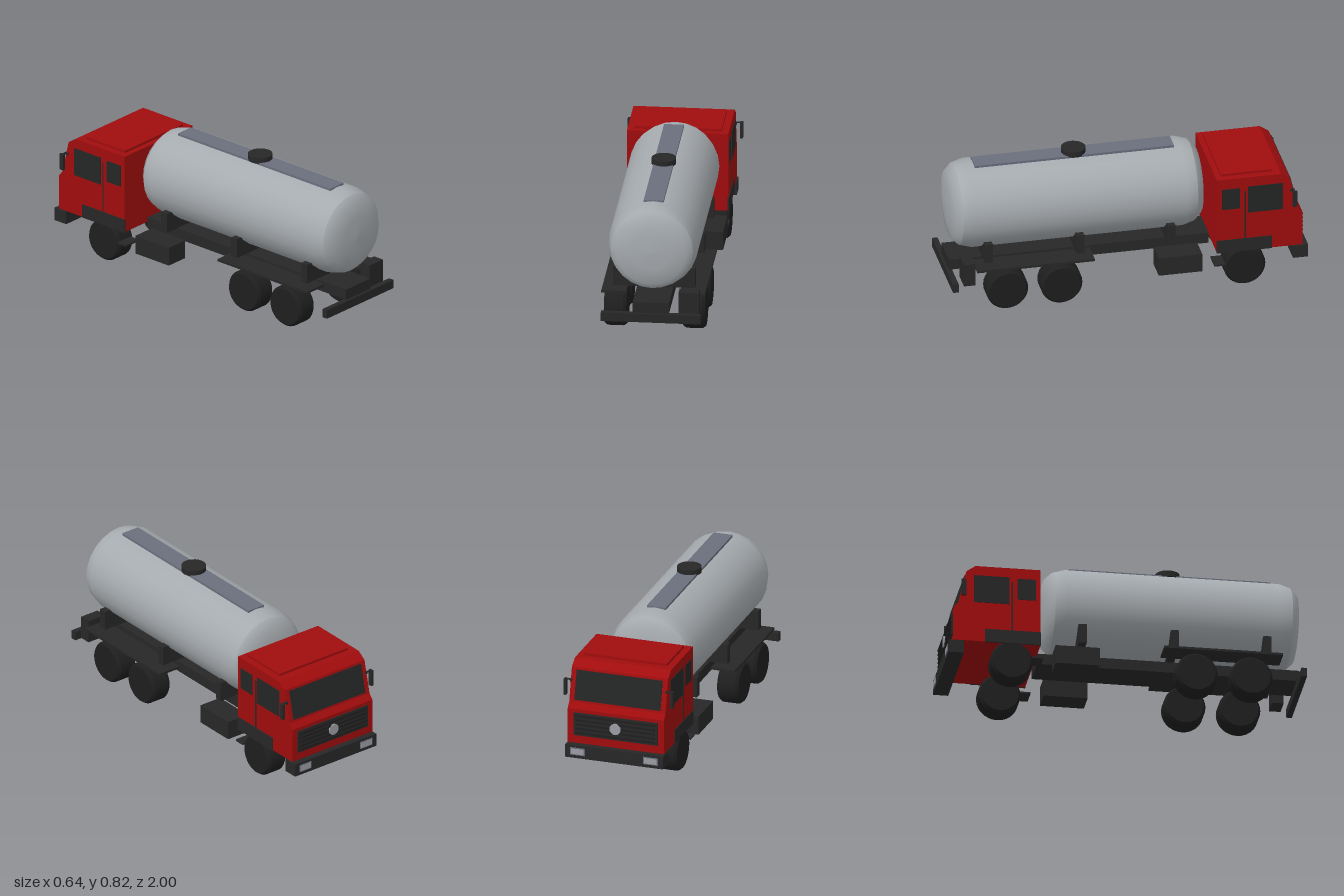
import * as THREE from 'three';
import { toCreasedNormals } from 'three/addons/utils/BufferGeometryUtils.js';

const mat = (name, color) => {
  const m = new THREE.MeshStandardMaterial({ color });
  m.name = name;
  return m;
};

export function createModel() {
  const red = mat('cabRed', 0xa00c0d);
  const dark = mat('darkTrim', 0x262726);
  const black = mat('tyreBlack', 0x1e1e1e);
  const glass = mat('glass', 0x242625);
  const silver = mat('tankSilver', 0xa6abaf);
  const walkGrey = mat('walkwayGrey', 0x6b6f7d);
  const lamp = mat('lampGrey', 0x9a9ca2);

  const truck = new THREE.Group();
  truck.name = 'tankerTruck';

  const add = (name, geo, material, parent = truck) => {
    const m = new THREE.Mesh(geo, material);
    m.name = name;
    parent.add(m);
    return m;
  };
  // Box given by its minimum and maximum on each axis
  const box = (name, material, [x0, x1], [y0, y1], [z0, z1]) => {
    const m = add(name, new THREE.BoxGeometry(x1 - x0, y1 - y0, z1 - z0), material);
    m.position.set((x0 + x1) / 2, (y0 + y1) / 2, (z0 + z1) / 2);
    return m;
  };
  // The same box on both sides; x is given for the +x side
  const pair = (name, material, [x0, x1], y, z) => {
    box(name + 'Left', material, [x0, x1], y, z);
    box(name + 'Right', material, [-x1, -x0], y, z);
  };
  const lathe = (pts, sides) =>
    new THREE.LatheGeometry(pts.map(([r, h]) => new THREE.Vector2(r, h)), sides);

  // Tank: body and two domed ends, lying along z
  const tank = new THREE.Group();
  tank.name = 'tank';
  tank.position.set(0, 0.545, 0.27);
  truck.add(tank);
  const half = [[0.228, 0.66], [0.19, 0.698], [0.1, 0.71], [0, 0.715]];
  const body = [[0.228, -0.66], [0.247, -0.595], [0.247, 0.595], [0.228, 0.66]];
  const frontEnd = half.map(([r, h]) => [r, -h]).reverse();
  for (const [name, pts] of [['tankBody', body], ['tankRearEnd', half], ['tankFrontEnd', frontEnd]]) {
    add(name, lathe(pts, 24).rotateX(Math.PI / 2), silver, tank);
  }
  box('tankWalkway', walkGrey, [-0.055, 0.055], [0.77, 0.798], [-0.29, 0.83]);
  const hatch = add('tankHatch', new THREE.CylinderGeometry(0.068, 0.068, 0.033, 24), dark);
  hatch.position.set(0, 0.808, 0.265);
  for (const z of [-0.24, 0.273, 0.787]) {
    box('tankSaddle', dark, [-0.227, 0.227], [0.278, 0.39], [z - 0.022, z + 0.022]);
  }

  // Chassis and everything hung from it
  box('chassis', dark, [-0.1, 0.1], [0.19, 0.252], [-0.475, 0.985]);
  box('rearBumper', dark, [-0.275, 0.275], [0.14, 0.19], [0.968, 1]);
  box('rearBox', dark, [0.148, 0.26], [0.165, 0.298], [0.87, 0.935]);
  pair('rearFender', dark, [0.147, 0.286], [0.253, 0.266], [0.205, 0.865]);
  pair('sideBox', dark, [0.148, 0.284], [0.118, 0.225], [-0.4, -0.155]);
  pair('cabStep', dark, [0.18, 0.284], [0.138, 0.148], [-0.53, -0.468]);

  // Wheels with chamfered shoulders
  const wheelGeo = toCreasedNormals(lathe([
    [0, -0.062], [0.104, -0.062], [0.117, -0.045], [0.117, 0.045], [0.104, 0.062], [0, 0.062],
  ], 28).rotateZ(-Math.PI / 2), 0.5);
  for (const z of [-0.642, 0.387, 0.692]) {
    for (const s of [-1, 1]) {
      add('wheel', wheelGeo, black).position.set(s * 0.217, 0.12, z);
    }
  }

  // Cab: side outline (forward, up) extruded across the width
  const outline = [[0.483, 0.22], [0.965, 0.22], [0.965, 0.42], [0.94, 0.45],
    [0.895, 0.64], [0.845, 0.674], [0.483, 0.674]];
  const shape = new THREE.Shape(outline.map(([u, y]) => new THREE.Vector2(u, y)));
  const cabGeo = new THREE.ExtrudeGeometry(shape, { depth: 0.56, bevelEnabled: false });
  cabGeo.translate(0, 0, -0.28).rotateY(Math.PI / 2);
  add('cab', cabGeo, red);
  box('roofPanel', red, [-0.24, 0.24], [0.67, 0.688], [-0.8, -0.515]);

  // Windows, door seam and sill
  pair('doorWindow', glass, [0.278, 0.283], [0.455, 0.617], [-0.853, -0.657]);
  pair('rearWindow', glass, [0.278, 0.283], [0.487, 0.612], [-0.613, -0.51]);
  pair('doorSeam', dark, [0.278, 0.282], [0.295, 0.59], [-0.645, -0.638]);
  pair('sill', dark, [0.276, 0.284], [0.218, 0.296], [-0.792, -0.482]);
  const windshield = add('windshield', new THREE.BoxGeometry(0.5, 0.168, 0.008), glass);
  windshield.position.set(0, 0.545, -0.9185);
  windshield.rotation.x = Math.atan2(0.045, 0.19);

  // Grille with slats and a plain round centre plate
  box('grille', dark, [-0.245, 0.245], [0.268, 0.4], [-0.972, -0.964]);
  for (let i = 0; i < 5; i++) {
    const y = 0.284 + i * 0.025;
    box('grilleSlat', black, [-0.23, 0.23], [y - 0.005, y + 0.005], [-0.977, -0.97]);
  }
  const disc = add('grilleDisc', new THREE.CylinderGeometry(0.032, 0.032, 0.009, 20).rotateX(Math.PI / 2), lamp);
  disc.position.set(0, 0.335, -0.977);

  // Front bumper and headlights
  box('frontBumper', dark, [-0.284, 0.284], [0.142, 0.217], [-0.995, -0.91]);
  pair('headlightFrame', walkGrey, [0.17, 0.255], [0.16, 0.203], [-0.998, -0.994]);
  pair('headlight', lamp, [0.176, 0.249], [0.166, 0.197], [-1, -0.997]);

  // Mirrors on short arms
  pair('mirrorArm', dark, [0.275, 0.312], [0.568, 0.575], [-0.918, -0.911]);
  pair('mirrorArmFoot', dark, [0.272, 0.284], [0.56, 0.575], [-0.918, -0.895]);
  pair('mirror', dark, [0.303, 0.318], [0.48, 0.574], [-0.928, -0.902]);

  return truck;
}
